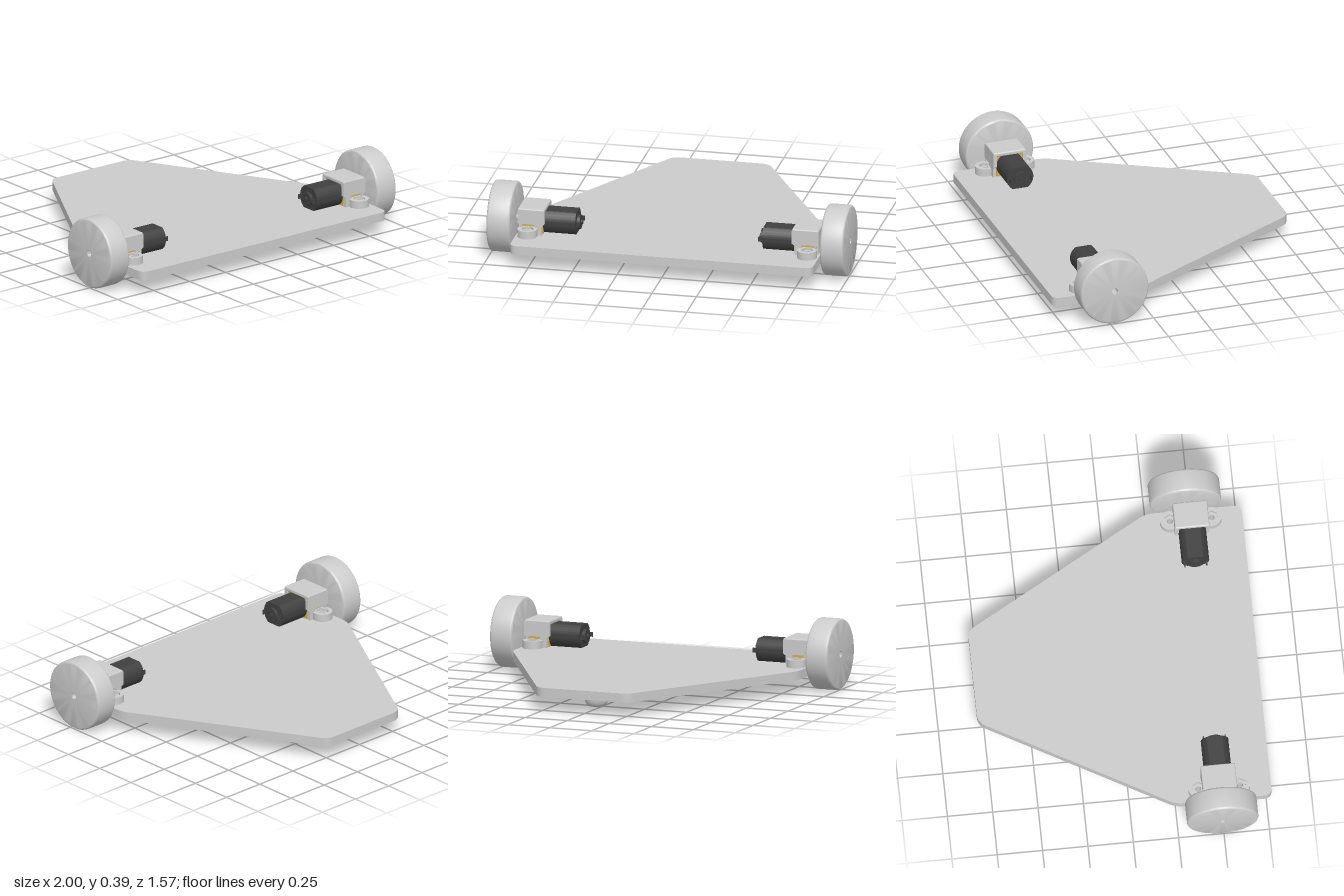
import * as THREE from 'three';
import { toCreasedNormals } from 'three/addons/utils/BufferGeometryUtils.js';
import { RoundedBoxGeometry } from 'three/addons/geometries/RoundedBoxGeometry.js';

const mat = (color) => new THREE.MeshStandardMaterial({ color });
const grey = mat(0xcccccc), white = mat(0xf2f2f2), black = mat(0x404040), brass = mat(0xd4af50);

function add(group, name, geometry, material, x = 0, y = 0, z = 0) {
  const mesh = new THREE.Mesh(geometry, material);
  mesh.name = name;
  mesh.position.set(x, y, z);
  group.add(mesh);
  return mesh;
}

// Polygon whose corners are rounded, starting t along each edge
function roundedPolygon(corners, t) {
  const pts = corners.map(([x, y]) => new THREE.Vector2(x, y));
  const toward = (a, b) => a.clone().add(b.clone().sub(a).setLength(t));
  const shape = new THREE.Shape();
  pts.forEach((p, i) => {
    const a = toward(p, pts[(i + pts.length - 1) % pts.length]);
    const b = toward(p, pts[(i + 1) % pts.length]);
    if (i === 0) shape.moveTo(a.x, a.y); else shape.lineTo(a.x, a.y);
    shape.quadraticCurveTo(p.x, p.y, b.x, b.y);
  });
  shape.closePath();
  return shape;
}

const circle = (r, x = 0, y = 0) => new THREE.Path().absarc(x, y, r, 0, Math.PI * 2, true);
const extrude = (shape, depth) => toCreasedNormals(
  new THREE.ExtrudeGeometry(shape, { depth, bevelEnabled: false, curveSegments: 16 }), 0.6);
// Extrusions standing on y = 0, or running along +x from x = 0
const extrudeUp = (shape, depth) => extrude(shape, depth).rotateX(-Math.PI / 2);
const extrudeX = (shape, depth) => extrude(shape, depth).rotateY(Math.PI / 2);
const rod = (r, length, sides = 24) =>
  new THREE.CylinderGeometry(r, r, length, sides).rotateZ(-Math.PI / 2);

function hexagon(r, Type) {
  const pts = [];
  for (let i = 0; i < 6; i++) {
    const a = (i * Math.PI) / 3;
    pts.push(new THREE.Vector2(r * Math.cos(a), r * Math.sin(a)));
  }
  return new Type(pts);
}

function wheelGeometry() {
  const R = 0.197, w = 0.132, f = 0.014, hole = 0.018;
  const pts = [new THREE.Vector2(hole, 0)];
  for (let i = 0; i <= 4; i++) {
    const a = (i / 4) * Math.PI / 2;
    pts.push(new THREE.Vector2(R - f + f * Math.sin(a), f - f * Math.cos(a)));
  }
  for (let i = 0; i <= 4; i++) {
    const a = (i / 4) * Math.PI / 2;
    pts.push(new THREE.Vector2(R - f + f * Math.cos(a), w - f + f * Math.sin(a)));
  }
  pts.push(new THREE.Vector2(hole, w), new THREE.Vector2(hole, 0));
  return toCreasedNormals(new THREE.LatheGeometry(pts, 64), 0.6).rotateZ(-Math.PI / 2);
}

// One wheel with its gear motor and bracket, axle along +x through the origin
function driveUnit(wheelZ) {
  const unit = new THREE.Group();
  add(unit, 'wheel', wheelGeometry(), grey, 0.868, 0, wheelZ);
  add(unit, 'axle', rod(0.017, 0.05), grey, 0.86);
  add(unit, 'axleCore', rod(0.013, 0.05), brass, 0.865);

  // Motor can: round sides, flat top and bottom
  const flat = Math.asin(0.0625 / 0.076);
  const can = new THREE.Shape();
  can.absarc(0, 0, 0.076, -flat, flat, false);
  can.absarc(0, 0, 0.076, Math.PI - flat, Math.PI + flat, false);
  can.closePath();
  add(unit, 'motorCan', extrudeX(can, 0.18), black, 0.525, 0.002);
  add(unit, 'motorEndCap', rod(0.04, 0.02), black, 0.517);
  add(unit, 'motorShaftEnd', rod(0.012, 0.02), black, 0.507);
  for (const s of [-1, 1])
    add(unit, 'motorTerminal', new THREE.BoxGeometry(0.03, 0.025, 0.007), black, 0.515, 0, s * 0.06);
  add(unit, 'gearbox', new THREE.BoxGeometry(0.13, 0.125, 0.149), brass, 0.77, 0.001);

  // Bracket: roof and walls with a window over each screw ear
  add(unit, 'bracketRoof', new RoundedBoxGeometry(0.15, 0.024, 0.19, 2, 0.008), white, 0.77, 0.073);
  for (const s of [-1, 1]) {
    const wall = new THREE.Shape();
    [[0.71, -0.065], [0.83, -0.065], [0.83, -0.01], [0.845, 0], [0.845, 0.075], [0.695, 0.075],
      [0.695, 0], [0.71, -0.01]].forEach(([x, y], i) => (i ? wall.lineTo(x, y) : wall.moveTo(x, y)));
    wall.closePath();
    wall.holes.push(new THREE.Path([[0.75, -0.035], [0.75, -0.004], [0.82, -0.004], [0.82, -0.035]]
      .map(([x, y]) => new THREE.Vector2(x, y))));
    add(unit, 'bracketWall', extrude(wall, 0.02), white, 0, 0, s * 0.085 - 0.01);

    // Screw ear with a hexagonal pocket and nut
    const ear = new THREE.Shape().absarc(0, 0, 0.055, 0, Math.PI * 2, false);
    ear.holes.push(hexagon(0.036, THREE.Path));
    add(unit, 'screwEar', extrudeUp(ear, 0.043), white, 0.785, -0.065, s * 0.115);
    const nut = hexagon(0.036, THREE.Shape);
    nut.holes.push(circle(0.016));
    add(unit, 'nut', extrudeUp(nut, 0.025), white, 0.785, -0.065, s * 0.115);
  }

  // Face plates at both ends of the bracket
  const plate = new THREE.Shape();
  plate.moveTo(-0.075, -0.06).lineTo(0.075, -0.06).lineTo(0.075, 0.065).lineTo(-0.075, 0.065).closePath();
  plate.holes.push(circle(0.03));
  add(unit, 'gearboxPlate', extrudeX(plate, 0.008), white, 0.833);
  return unit;
}

export function createModel() {
  const model = new THREE.Group();
  model.name = 'twoWheelPlatform';

  // Base plate tapering to the rear, with screw holes
  const base = roundedPolygon([[-0.85, -0.78], [0.85, -0.78], [0.85, -0.25], [0.268, 0.785],
    [-0.268, 0.785], [-0.85, -0.25]], 0.045);
  for (const x of [-0.785, 0.785])
    for (const z of [0.38, 0.61]) base.holes.push(circle(0.016, x, -z));
  add(model, 'basePlate', extrudeUp(base, 0.05), grey, 0, 0.085);

  // Rear caster: flared neck and rounded, flattened tip
  const profile = new THREE.SplineCurve([[0.0001, 0.017], [0.03, 0.018], [0.05, 0.024], [0.061, 0.04],
    [0.066, 0.06], [0.071, 0.075], [0.082, 0.0855]].map(([r, y]) => new THREE.Vector2(r, y)));
  add(model, 'rearCaster', new THREE.LatheGeometry(profile.getPoints(24), 40), grey, 0, 0, -0.585);

  // Drive units, the right one turned half round
  const left = driveUnit(-0.021);
  left.name = 'leftDrive';
  left.position.set(0, 0.2, 0.495);
  const right = driveUnit(0.001);
  right.name = 'rightDrive';
  right.position.set(0, 0.2, 0.495);
  right.rotation.y = Math.PI;
  model.add(left, right);
  return model;
}
